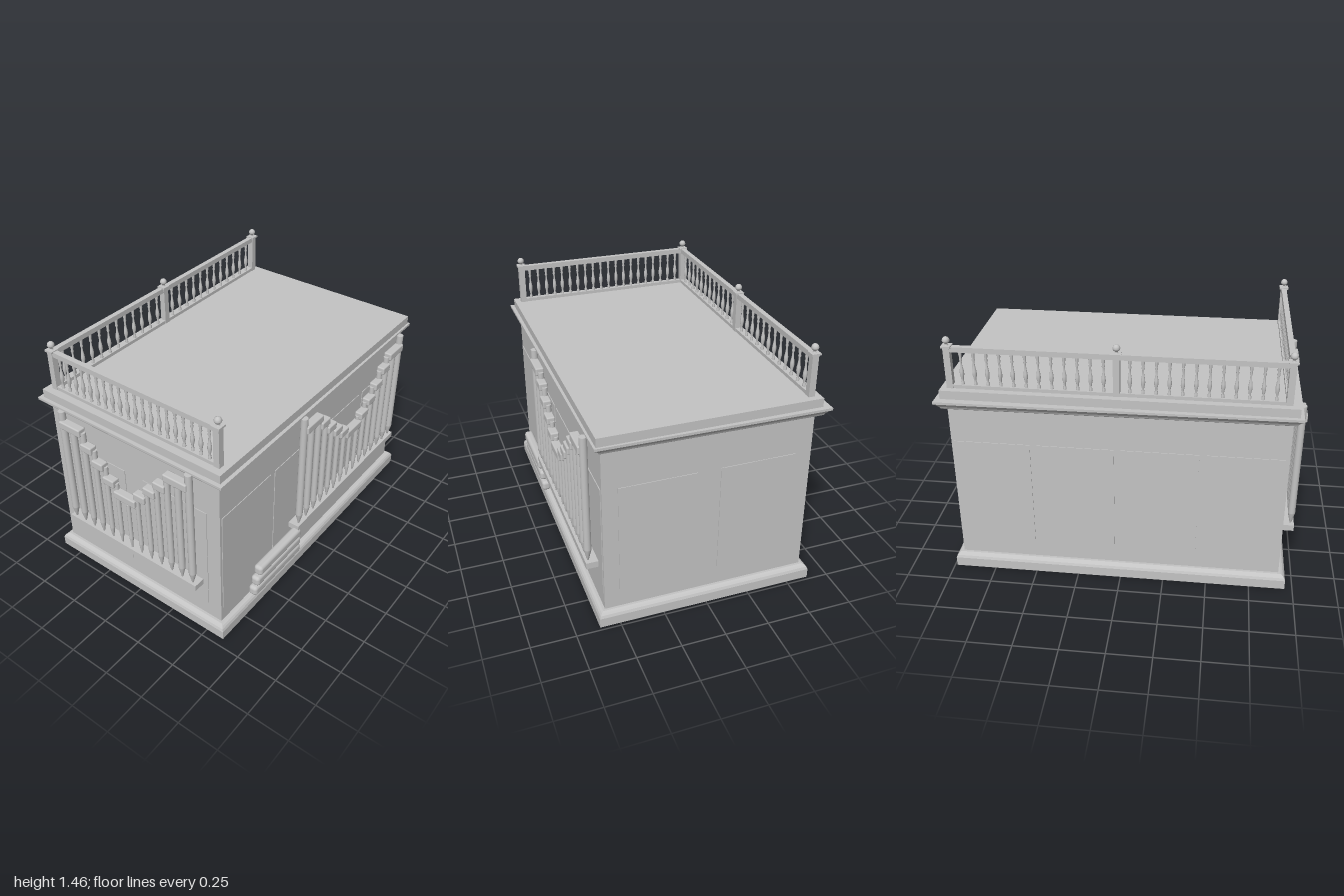
import * as THREE from 'three';
import { RoundedBoxGeometry } from 'three/addons/geometries/RoundedBoxGeometry.js';

const grey = new THREE.MeshStandardMaterial({ color: 0xc4c4c4 });
grey.name = 'plain grey';

// Footprint of the cabinet walls
const X0 = -0.915, X1 = 0.945, Z0 = -0.59, Z1 = 0.575;

function add(parent, name, geometry, x = 0, y = 0, z = 0) {
  const mesh = new THREE.Mesh(geometry, grey);
  mesh.name = name;
  mesh.position.set(x, y, z);
  parent.add(mesh);
  return mesh;
}

// Box given by its limits
function block(parent, name, x0, x1, y0, y1, z0, z1) {
  return add(parent, name, new THREE.BoxGeometry(x1 - x0, y1 - y0, z1 - z0),
    (x0 + x1) / 2, (y0 + y1) / 2, (z0 + z1) / 2);
}

// Rectangular moulding: each level is [height, distance outside the walls]
function moulding(levels, skew = 0) {
  const rings = levels.map(([y, o]) => [
    [X0 - o, y, Z1 + o],
    [X1 + o - 0.5 * skew, y, Z1 + o - 0.5 * skew],
    [X1 + o + 0.3 * skew, y, Z0 - o - skew],
    [X0 - o, y, Z0 - o],
  ]);
  const pos = [];
  const quad = (a, b, c, d) => pos.push(...a, ...b, ...c, ...a, ...c, ...d);
  for (let i = 0; i < rings.length - 1; i++) {
    for (let j = 0; j < 4; j++) {
      const k = (j + 1) % 4;
      quad(rings[i][j], rings[i][k], rings[i + 1][k], rings[i + 1][j]);
    }
  }
  quad(...rings[rings.length - 1]);
  quad(...rings[0].slice().reverse());
  const g = new THREE.BufferGeometry();
  g.setAttribute('position', new THREE.Float32BufferAttribute(pos, 3));
  g.computeVertexNormals();
  return g;
}

const lathe = (pts, sides) =>
  new THREE.LatheGeometry(pts.map(([r, y]) => new THREE.Vector2(r, y)), sides);

// Pipe display: stepped pipes on a shelf, wall at local z = 0
function pipeDisplay(name, count, spacing, levels) {
  const g = new THREE.Group();
  g.name = name;
  const mid = (count - 1) / 2;
  const at = (k) => (k - mid) * spacing;
  for (let i = 0; i < count; i++) {
    const k = Math.min(i, count - 1 - i);
    let top = levels[Math.max(0, k - 2)];
    if (k === 0) top = 1.11;
    if (k === mid) top = levels[levels.length - 1] - 0.05;
    const r = 0.021 - 0.009 * (k / mid);
    add(g, 'pipe', lathe([[0, 0.35], [0.004, 0.35], [r, 0.42], [r, 0.425],
      [r, top - 0.002], [r, top], [r - 0.001, top], [0, top]], 14), at(i), 0, 0.053);
  }
  // Bands joining neighbouring pipes, mirrored about the middle
  levels.forEach((y, j) => {
    const last = j === levels.length - 1;
    const from = at(j === 0 ? 0 : j + 1), to = at(last ? j + 3 : j + 2);
    for (const s of last ? [1] : [1, -1]) {
      add(g, 'pipeBand', new RoundedBoxGeometry(Math.abs(to - from) + 0.006, 0.048, 0.05, 2, 0.008),
        s * (from + to) / 2, y, 0.059);
    }
  });
  const half = mid * spacing + 0.031;
  block(g, 'pipeShelf', -half, half, 0.315, 0.352, 0, 0.072);
  return g;
}

// Raised panels standing just proud of the walls
function panels(root) {
  const t = 0.004, y0 = 0.187, y1 = 0.847;
  for (const x of [-0.9, -0.432, 0.035, 0.503]) {
    block(root, 'frontPanel', x, x + 0.428, y0, y1, Z1 - t, Z1 + t);
    block(root, 'backPanel', x, x + 0.428, y0, y1, Z0 - t, Z0 + t);
  }
  for (const z of [0.06, -0.5]) {
    block(root, 'leftPanel', X1 - t, X1 + t, y0, y1, z, z + 0.43);
    block(root, 'rightPanel', X0 - t, X0 + t, y0, y1, z, z + 0.43);
  }
}

// Balustrade along the back and the right-hand edge
function balustrade() {
  const g = new THREE.Group();
  g.name = 'balustrade';
  const baluster = lathe([[0.009, 1.185], [0.009, 1.205], [0.005, 1.21], [0.007, 1.225],
    [0.012, 1.25], [0.011, 1.27], [0.006, 1.3], [0.005, 1.325], [0.009, 1.335],
    [0.006, 1.345], [0.009, 1.36], [0.009, 1.385]], 10);
  const finial = lathe([[0.012, 1.414], [0.007, 1.42], [0.009, 1.426], [0.017, 1.432],
    [0.021, 1.442], [0.017, 1.454], [0.009, 1.461], [0, 1.463]], 14);
  const posts = [[-0.885, 0.55], [-0.885, -0.565], [0.018, -0.565], [0.92, -0.565]];
  const counts = [20, 12, 12];
  posts.forEach(([x, z], i) => {
    block(g, 'post', x - 0.018, x + 0.018, 1.165, 1.405, z - 0.018, z + 0.018);
    block(g, 'postCap', x - 0.026, x + 0.026, 1.404, 1.415, z - 0.026, z + 0.026);
    add(g, 'finial', finial, x, 0, z);
    if (i === posts.length - 1) return;
    const [nx, nz] = posts[i + 1];
    const w = 0.015, xa = Math.min(x, nx), xb = Math.max(x, nx);
    const za = Math.min(z, nz), zb = Math.max(z, nz);
    const alongX = xb > xa;
    const ex = alongX ? 0 : w, ez = alongX ? w : 0;
    block(g, 'topRail', xa - ex, xb + ex, 1.38, 1.41, za - ez, zb + ez);
    block(g, 'bottomRail', xa - ex, xb + ex, 1.165, 1.19, za - ez, zb + ez);
    for (let k = 1; k <= counts[i]; k++) {
      const f = k / (counts[i] + 1);
      add(g, 'baluster', baluster, x + (nx - x) * f, 0, z + (nz - z) * f);
    }
  });
  return g;
}

export function createModel() {
  const root = new THREE.Group();
  root.name = 'organCabinet';

  // Cabinet, plinth, cornice and roof deck
  block(root, 'cabinet', X0, X1, 0.05, 1.1, Z0, Z1);
  add(root, 'plinth', moulding([[0, 0.036], [0, 0.036], [0.004, 0.04], [0.06, 0.04],
    [0.075, 0.034], [0.085, 0.025], [0.09, 0.014]]));
  add(root, 'cornice', moulding([[1.06, 0.006], [1.068, 0.018], [1.08, 0.024],
    [1.095, 0.036], [1.1, 0.042], [1.106, 0.05], [1.12, 0.05]], 0.02));
  add(root, 'roofDeck', moulding([[1.118, 0.028], [1.17, 0.028]]));
  panels(root);
  root.add(balustrade());

  // Pipe displays on the front and on the right-hand wall
  const front = pipeDisplay('frontPipes', 15, 0.0767, [1.032, 0.97, 0.895, 0.826, 0.766, 0.72]);
  front.position.set(0.295, 0, Z1);
  const side = pipeDisplay('sidePipes', 13, 0.0735, [1.032, 0.945, 0.868, 0.79, 0.725]);
  side.position.set(X0, 0, -0.015);
  side.rotation.y = -Math.PI / 2;
  root.add(front, side);

  // Stacked keyboards
  [[0.295, 0.41, 0.628], [0.219, 0.44, 0.62], [0.143, 0.46, 0.612]].forEach(([y, w, z]) => {
    add(root, 'keyboard', new RoundedBoxGeometry(w, 0.064, 0.055, 4, 0.02), -0.45, y, z);
  });
  return root;
}
